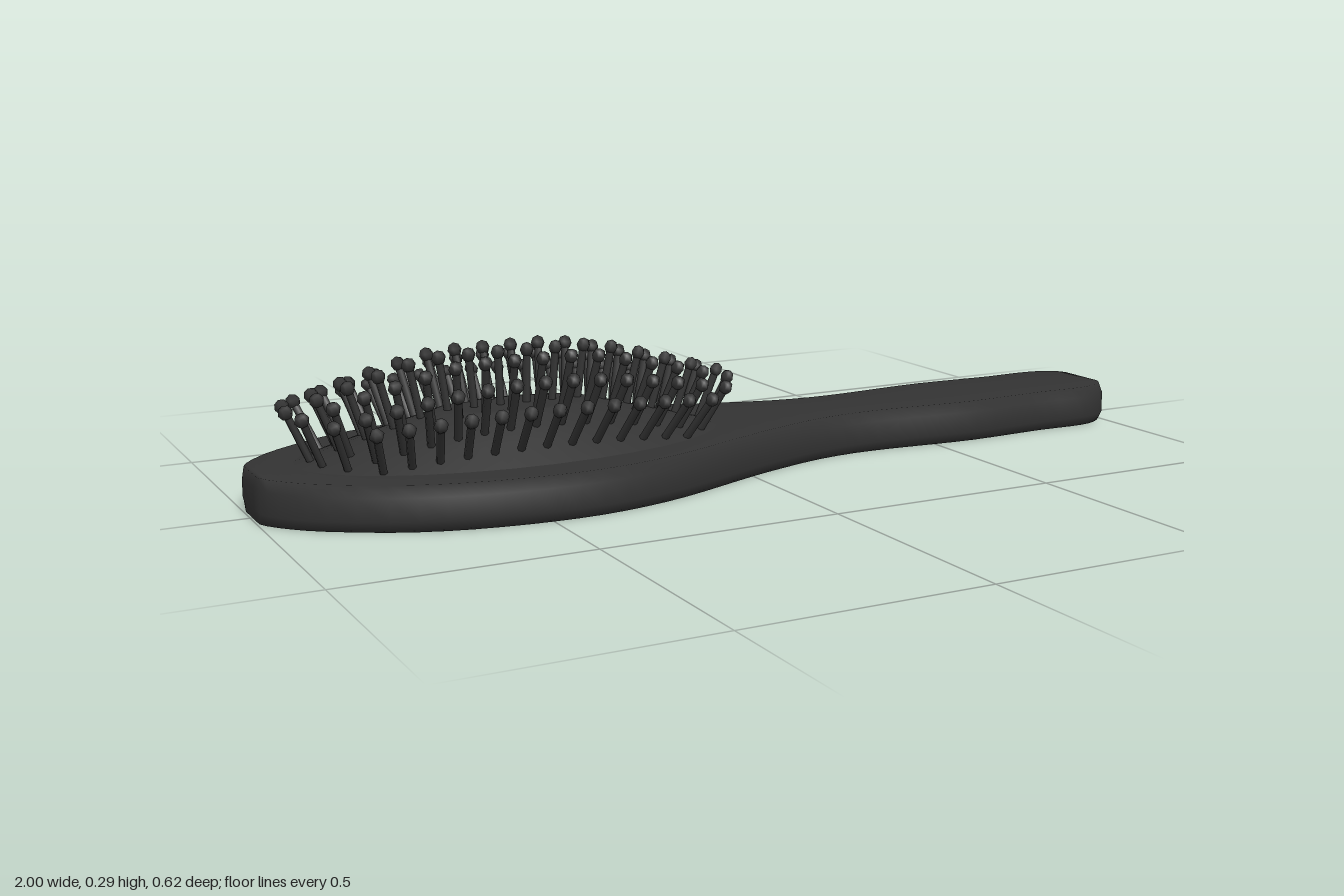
import * as THREE from 'three';
import { mergeGeometries } from 'three/addons/utils/BufferGeometryUtils.js';

const material = new THREE.MeshStandardMaterial({ color: 0x333333 });

// Half width of the paddle and handle along x
const OUTLINE = [
  [-1, 0.05], [-0.986, 0.085], [-0.95, 0.13], [-0.9, 0.173], [-0.8, 0.235], [-0.7, 0.275],
  [-0.6, 0.297], [-0.5, 0.308], [-0.4, 0.308], [-0.3, 0.293], [-0.2, 0.265], [-0.1, 0.225],
  [0, 0.183], [0.1, 0.148], [0.2, 0.12], [0.3, 0.108], [0.4, 0.111], [0.5, 0.12],
  [0.6, 0.126], [0.7, 0.122], [0.8, 0.117], [0.88, 0.12], [0.94, 0.115], [0.986, 0.09], [1, 0.06],
];

// Chamfered cross-sections lofted from the tip of the paddle to the end of the handle
function bodyGeometry() {
  const curve = new THREE.SplineCurve(OUTLINE.map(([x, w]) => new THREE.Vector2(x, w)));
  const stations = curve.getPoints((OUTLINE.length - 1) * 2);
  const last = stations.length - 1;
  const pos = [], idx = [], n = 8;
  stations.forEach(({ x, y: w }, i) => {
    const end = i === 0 || i === last;
    const h = end ? 0.024 : 0.045;
    const s = end ? 0.016 : 0.023;
    const inner = w - 0.014;
    const ring = [[inner, -h], [w, -s], [w, s], [inner, h], [-inner, h], [-w, s], [-w, -s], [-inner, -h]];
    for (const [z, y] of ring) pos.push(x, 0.045 + y, z);
  });
  for (let i = 0; i < last; i++) {
    for (let j = 0; j < n; j++) {
      const a = i * n + j, b = i * n + (j + 1) % n;
      idx.push(a, a + n, b, b, a + n, b + n);
    }
  }
  const e = last * n;
  for (let j = 1; j < n - 1; j++) idx.push(0, j, j + 1, e, e + j + 1, e + j);
  const g = new THREE.BufferGeometry();
  g.setAttribute('position', new THREE.Float32BufferAttribute(pos, 3));
  g.setIndex(idx);
  g.computeVertexNormals();
  return g;
}

// Cushion ellipse and its height above the paddle
const CX = -0.46, RX = 0.45, RZ = 0.215, BASE = 0.09, RISE = 0.08;
const cushionY = (x, z) =>
  BASE + RISE * THREE.MathUtils.clamp((1 - Math.hypot(x / RX, z / RZ)) / 0.63, 0, 1);

// One pin with a round tip, leaning outwards from the cushion
function bristleGeometry(x, z) {
  const length = 0.115;
  const rod = new THREE.CylinderGeometry(0.008, 0.008, length + 0.01, 6);
  rod.translate(0, length / 2 - 0.005, 0);
  const ball = new THREE.SphereGeometry(0.015, 6, 4);
  ball.translate(0, length - 0.008, 0);
  const g = mergeGeometries([rod, ball]);
  const dir = new THREE.Vector3(x * 1.05, 1, z * 4.8).normalize();
  g.applyQuaternion(new THREE.Quaternion().setFromUnitVectors(new THREE.Vector3(0, 1, 0), dir));
  g.translate(CX + x, cushionY(x, z), z);
  return g;
}

export function createModel() {
  const model = new THREE.Group();
  const add = (name, geometry) => {
    const mesh = new THREE.Mesh(geometry, material);
    mesh.name = name;
    model.add(mesh);
    return mesh;
  };

  add('paddleAndHandle', bodyGeometry());

  // Low oval cushion with a flat top
  const profile = [[1, 0], [0.7, 0.48], [0.37, 0.98], [0.3, 1], [0, 1]];
  const cushion = add('cushion', new THREE.LatheGeometry(profile.map(([r, y]) => new THREE.Vector2(r, y)), 32));
  cushion.scale.set(RX, RISE, RZ);
  cushion.position.set(CX, BASE, 0);

  // Curved rows of bristles: offset z, half length, count
  const rows = [[0, 0.42, 16], [0.058, 0.41, 16], [0.117, 0.375, 15], [0.17, 0.32, 13]];
  rows.forEach(([z, half, count], r) => {
    for (const side of r === 0 ? [1] : [1, -1]) {
      const pins = [];
      for (let i = 0; i < count; i++) {
        const t = (2 * i) / (count - 1) - 1;
        pins.push(bristleGeometry(t * half, side * z * (1 - 0.17 * t * t)));
      }
      const label = r === 0 ? 'centreBristles' : `${side > 0 ? 'front' : 'back'}BristleRow${r}`;
      add(label, mergeGeometries(pins));
    }
  });
  return model;
}
